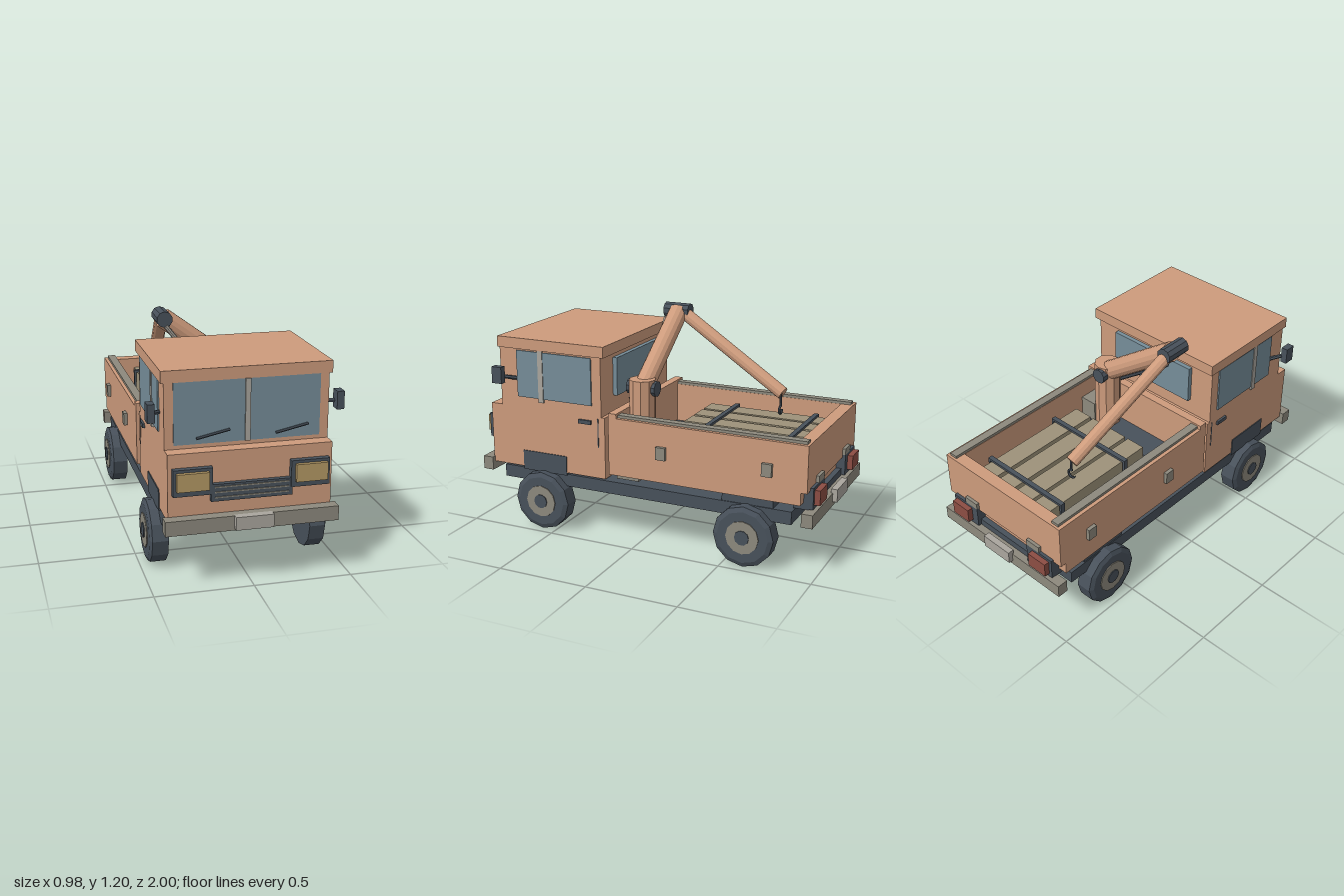
import * as THREE from 'three';

const mat = (color) => new THREE.MeshStandardMaterial({ color, flatShading: true });

export function createModel() {
  const model = new THREE.Group();
  const paint = mat(0xcd9b7c), dark = mat(0x48515b), glass = mat(0x768d99), steel = mat(0x8d897d);
  const wood = mat(0x9d927a), lamp = mat(0xb39864), red = mat(0x8c4d43), pale = mat(0xaaa69e);

  const add = (name, geometry, material) => {
    const mesh = new THREE.Mesh(geometry, material);
    mesh.name = name;
    model.add(mesh);
    return mesh;
  };
  // Box given by its limits on each axis
  const box = (name, m, x0, x1, y0, y1, z0, z1) => {
    const mesh = add(name, new THREE.BoxGeometry(x1 - x0, y1 - y0, z1 - z0), m);
    mesh.position.set((x0 + x1) / 2, (y0 + y1) / 2, (z0 + z1) / 2);
    return mesh;
  };
  // The same box on both sides
  const pair = (name, m, x0, x1, ...rest) => {
    box(name, m, x0, x1, ...rest);
    box(name, m, -x1, -x0, ...rest);
  };
  // Cylinder between two points
  const rod = (name, m, a, b, r, sides = 12) => {
    const p = new THREE.Vector3(...a), q = new THREE.Vector3(...b);
    const d = q.clone().sub(p);
    const mesh = add(name, new THREE.CylinderGeometry(r, r, d.length(), sides), m);
    mesh.position.copy(p).add(q).multiplyScalar(0.5);
    mesh.quaternion.setFromUnitVectors(new THREE.Vector3(0, 1, 0), d.normalize());
    return mesh;
  };

  // Chassis and wheel arches
  box('chassis', dark, -0.405, 0.405, 0.255, 0.325, -0.855, 0.845);
  box('frontWheelArch', dark, -0.415, 0.415, 0.32, 0.43, 0.44, 0.715);
  box('rearWheelArch', dark, -0.4, 0.4, 0.32, 0.376, -0.755, -0.475);

  // Wheels: chamfered tyre, rim and hub cap
  const tyreProfile = [[0, -0.047], [0.165, -0.047], [0.165, 0.036], [0.14, 0.047], [0, 0.047]]
    .map(([r, h]) => new THREE.Vector2(r, h));
  for (const side of [1, -1]) {
    for (const z of [0.58, -0.615]) {
      const wheel = new THREE.Group();
      wheel.name = 'wheel';
      const tyre = new THREE.Mesh(new THREE.LatheGeometry(tyreProfile, 12), dark);
      tyre.name = 'tyre';
      const rim = new THREE.Mesh(new THREE.CylinderGeometry(0.09, 0.09, 0.02, 12), steel);
      rim.name = 'rim';
      rim.position.y = 0.042;
      const cap = new THREE.Mesh(new THREE.CylinderGeometry(0.04, 0.04, 0.02, 10), dark);
      cap.name = 'hubCap';
      cap.position.y = 0.047;
      wheel.add(tyre, rim, cap);
      wheel.rotation.z = -side * Math.PI / 2;
      wheel.position.set(side * 0.417, 0.165, z);
      model.add(wheel);
    }
  }

  // Cab
  box('cabLower', paint, -0.41, 0.41, 0.335, 0.68, 0.2, 0.915);
  box('cabUpper', paint, -0.41, 0.41, 0.68, 1.01, 0.22, 0.845);
  box('roof', paint, -0.425, 0.425, 1.01, 1.07, 0.195, 0.85);
  box('windshield', glass, -0.365, 0.365, 0.7, 1.01, 0.8, 0.849);
  box('windshieldDivider', pale, -0.013, 0.013, 0.7, 1.01, 0.82, 0.857);
  box('rearWindow', glass, -0.27, 0.27, 0.77, 0.98, 0.195, 0.23);
  pair('sideWindow', glass, 0.38, 0.418, 0.74, 1.0, 0.275, 0.735);
  pair('windowDivider', pale, 0.38, 0.422, 0.72, 1.01, 0.57, 0.6);
  pair('doorHandle', dark, 0.4, 0.422, 0.635, 0.657, 0.28, 0.355);
  pair('doorSeam', dark, 0.4, 0.412, 0.51, 0.67, 0.237, 0.243);
  for (const x of [-0.255, 0.14]) rod('wiper', dark, [x, 0.73, 0.858], [x + 0.165, 0.765, 0.858], 0.007, 6);
  for (const s of [1, -1]) rod('mirrorArm', dark, [s * 0.405, 0.84, 0.735], [s * 0.465, 0.858, 0.815], 0.011, 6);
  pair('mirror', dark, 0.453, 0.49, 0.82, 0.912, 0.79, 0.85);

  // Front end
  pair('headlightFrame', dark, 0.195, 0.39, 0.475, 0.61, 0.91, 0.945);
  pair('headlight', lamp, 0.215, 0.375, 0.505, 0.595, 0.92, 0.965);
  box('grille', dark, -0.203, 0.203, 0.435, 0.522, 0.91, 0.94);
  for (const y of [0.456, 0.482, 0.508]) box('grilleBar', steel, -0.185, 0.185, y - 0.003, y + 0.003, 0.93, 0.945);
  box('frontBumper', steel, -0.435, 0.435, 0.29, 0.365, 0.91, 0.972);
  box('frontPlate', pale, -0.095, 0.095, 0.3, 0.367, 0.96, 1.0);

  // Cargo bed
  box('bedFloor', steel, -0.4, 0.4, 0.376, 0.42, -0.9, 0.16);
  pair('bedSide', paint, 0.355, 0.422, 0.372, 0.69, -0.905, 0.17);
  box('bedFront', paint, -0.422, 0.422, 0.372, 0.715, 0.125, 0.172);
  box('tailgate', paint, -0.422, 0.422, 0.44, 0.69, -0.938, -0.87);
  box('tailgateSill', paint, -0.4, 0.4, 0.374, 0.44, -0.905, -0.87);
  pair('sideRail', steel, 0.357, 0.402, 0.688, 0.705, -0.925, 0.125);
  pair('sideMarker', steel, 0.41, 0.442, 0.503, 0.572, -0.168, -0.113);
  pair('sideMarker', steel, 0.41, 0.442, 0.503, 0.572, -0.755, -0.7);
  pair('bedBracket', steel, 0.3, 0.4, 0.348, 0.376, 0.005, 0.135);

  // Rear end
  pair('hinge', steel, 0.19, 0.28, 0.455, 0.49, -0.955, -0.93);
  pair('tailLightFrame', dark, 0.19, 0.37, 0.34, 0.455, -0.955, -0.9);
  pair('tailLight', red, 0.232, 0.352, 0.36, 0.44, -0.985, -0.94);
  box('rearCrossbar', dark, -0.37, 0.37, 0.335, 0.375, -0.935, -0.85);
  box('rearBumper', steel, -0.435, 0.435, 0.265, 0.337, -0.975, -0.915);
  box('rearPlate', pale, -0.095, 0.095, 0.29, 0.36, -1.0, -0.965);

  // Strapped timber
  for (const x of [-0.19, -0.06, 0.073, 0.205]) box('timber', wood, x - 0.055, x + 0.055, 0.42, 0.632, -0.88, -0.14);
  for (const z of [-0.76, -0.295]) {
    box('strap', dark, -0.265, 0.285, 0.632, 0.645, z - 0.013, z + 0.013);
    for (const x of [-0.265, 0.273]) box('strapEnd', dark, x, x + 0.012, 0.42, 0.635, z - 0.013, z + 0.013);
  }

  // Loading crane
  box('craneBase', dark, -0.345, 0.345, 0.42, 0.47, -0.04, 0.126);
  box('controlBox', steel, 0.255, 0.355, 0.42, 0.59, 0.0, 0.12);
  rod('craneColumn', paint, [0.215, 0.42, 0.07], [0.215, 0.865, 0.07], 0.073, 10);
  rod('shoulderPin', dark, [0.205, 0.815, -0.015], [0.205, 0.815, 0.155], 0.043, 10);
  rod('boom', paint, [0.205, 0.815, 0.07], [-0.25, 1.15, 0.07], 0.054, 14);
  rod('elbowPin', dark, [-0.255, 1.155, 0], [-0.255, 1.155, 0.15], 0.043, 10);
  rod('hydraulicBody', dark, [0.19, 0.74, 0.146], [-0.15, 0.99, 0.146], 0.022, 8);
  rod('hydraulicRod', pale, [-0.15, 0.99, 0.146], [-0.25, 1.12, 0.146], 0.013, 8);
  rod('arm', paint, [-0.25, 1.14, 0.03], [-0.168, 0.765, -0.595], 0.036, 12);
  rod('hookCable', dark, [-0.155, 0.77, -0.588], [-0.155, 0.695, -0.588], 0.007, 6);
  const hook = add('hook', new THREE.TorusGeometry(0.022, 0.007, 6, 12, Math.PI * 1.5), dark);
  hook.position.set(-0.155, 0.675, -0.588);
  hook.rotation.z = Math.PI;

  return model;
}
